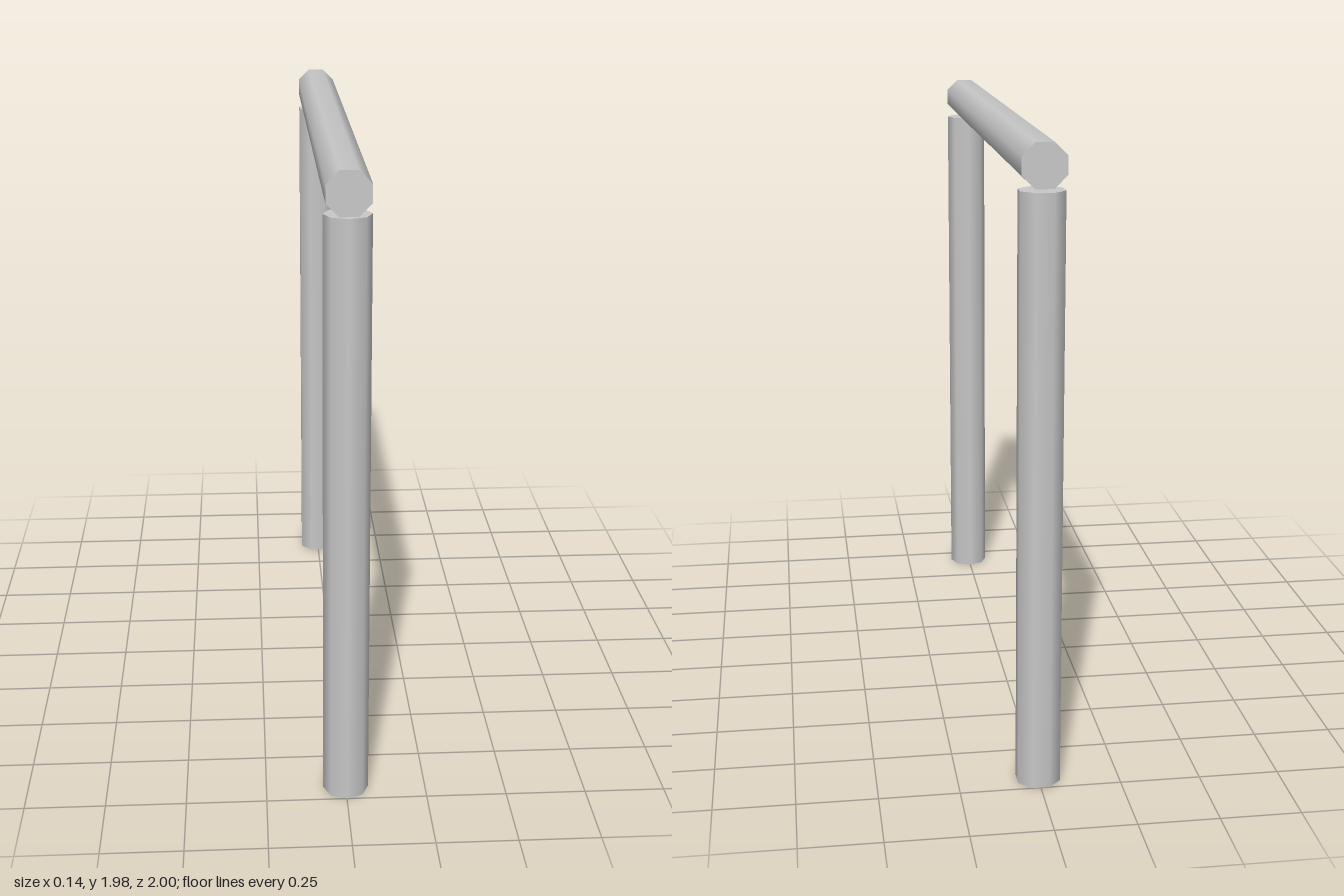
import * as THREE from 'three';

const RADIUS = 0.071;

export function createModel() {
  const model = new THREE.Group();
  model.name = 'barFrame';
  const grey = new THREE.MeshStandardMaterial({ color: 0xc8c8c8 });
  grey.name = 'grey';

  // Eight-sided smooth bar, standing along y, turned about its own axis
  function bar(name, length, turn) {
    const geometry = new THREE.CylinderGeometry(RADIUS, RADIUS, length, 8);
    geometry.rotateY(turn);
    const mesh = new THREE.Mesh(geometry, grey);
    mesh.name = name;
    model.add(mesh);
    return mesh;
  }

  // Upright posts: the front one points a corner forward, the back one a flat
  bar('frontPost', 1.845, 0).position.set(0, 0.9225, 0.929);
  bar('backPost', 1.84, Math.PI / 8).position.set(0, 0.92, -0.934);

  // Crossbar resting on the posts
  const crossbar = bar('crossbar', 1.976, Math.PI / 8);
  crossbar.rotation.x = Math.PI / 2;
  crossbar.position.set(0, 1.914, 0.002);

  return model;
}
